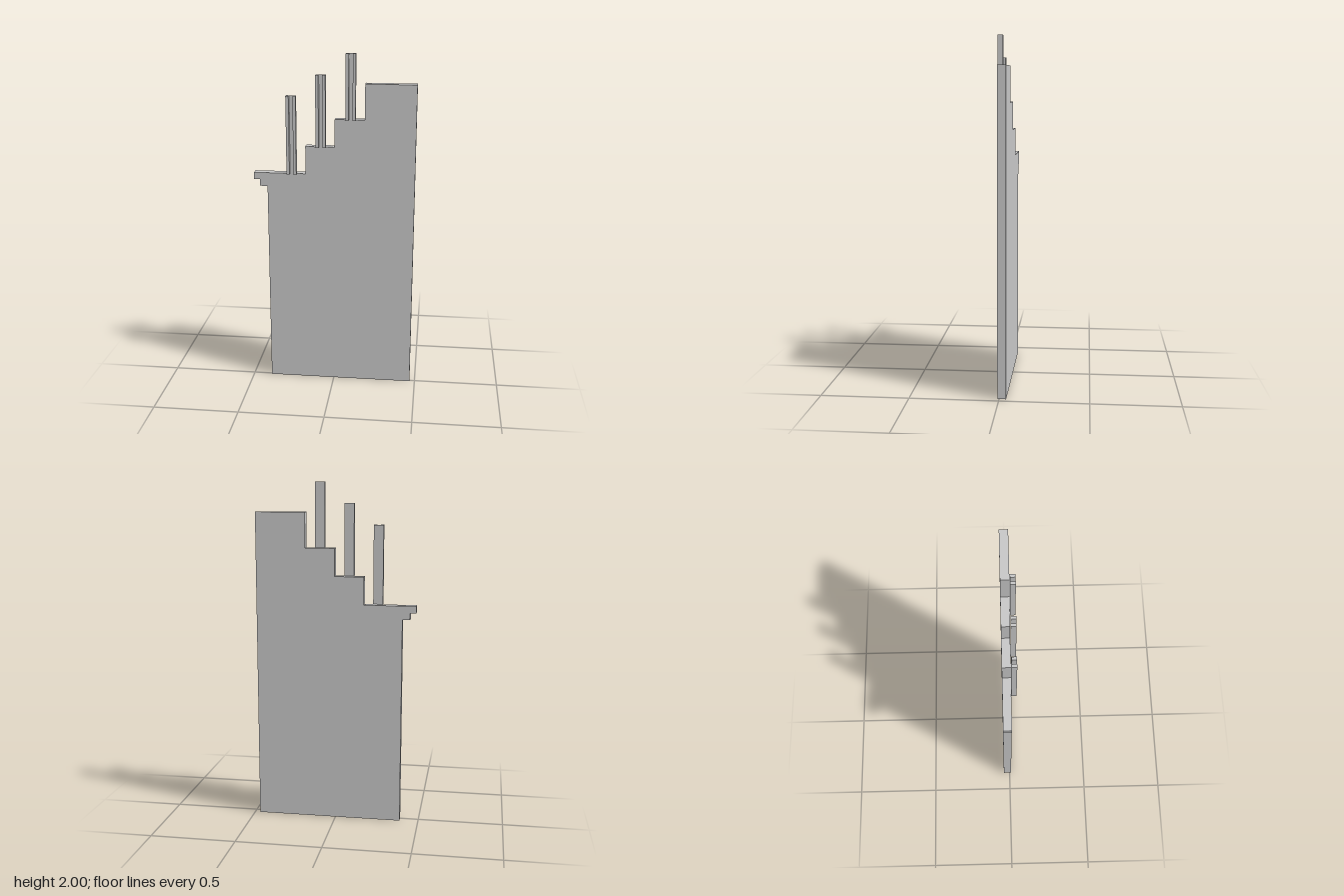
import * as THREE from 'three';

export function createModel() {
  const model = new THREE.Group();
  const grey = new THREE.MeshStandardMaterial({ color: 0xc7c7c7 });
  grey.name = 'lightGrey';

  // Stepped slab with a small corbelled ledge on one side
  const outline = [
    [-0.39, 0], [0.469, 0], [0.469, 1.829], [0.177, 1.829], [0.177, 1.625],
    [0.005, 1.625], [0.005, 1.464], [-0.165, 1.464], [-0.165, 1.302],
    [-0.469, 1.302], [-0.469, 1.262], [-0.434, 1.262], [-0.434, 1.222], [-0.39, 1.222],
  ].map(([x, y]) => new THREE.Vector2(x, y));
  const slabGeometry = new THREE.ExtrudeGeometry(new THREE.Shape(outline), {
    depth: 0.049, bevelEnabled: false,
  });
  slabGeometry.translate(0, 0, -0.039);
  const slab = new THREE.Mesh(slabGeometry, grey);
  slab.name = 'steppedSlab';
  model.add(slab);

  // Upright channel: two flanges joined by a thin web at the back
  function addPost(name, x, bottom, top) {
    const post = new THREE.Group();
    post.name = name;
    const height = top - bottom;
    const addPart = (part, width, depth, px, pz) => {
      const mesh = new THREE.Mesh(new THREE.BoxGeometry(width, height, depth), grey);
      mesh.name = part;
      mesh.position.set(px, height / 2, pz);
      post.add(mesh);
    };
    for (const side of [-1, 1]) {
      addPart(side < 0 ? 'rightFlange' : 'leftFlange', 0.017, 0.029, side * 0.02, 0.0245);
    }
    addPart('web', 0.023, 0.002, 0, 0.011);
    post.position.set(x, bottom, 0);
    model.add(post);
  }

  // One post on each step
  addPost('lowerPost', -0.243, 1.302, 1.758);
  addPost('middlePost', -0.073, 1.464, 1.879);
  addPost('upperPost', 0.098, 1.625, 2);

  return model;
}
